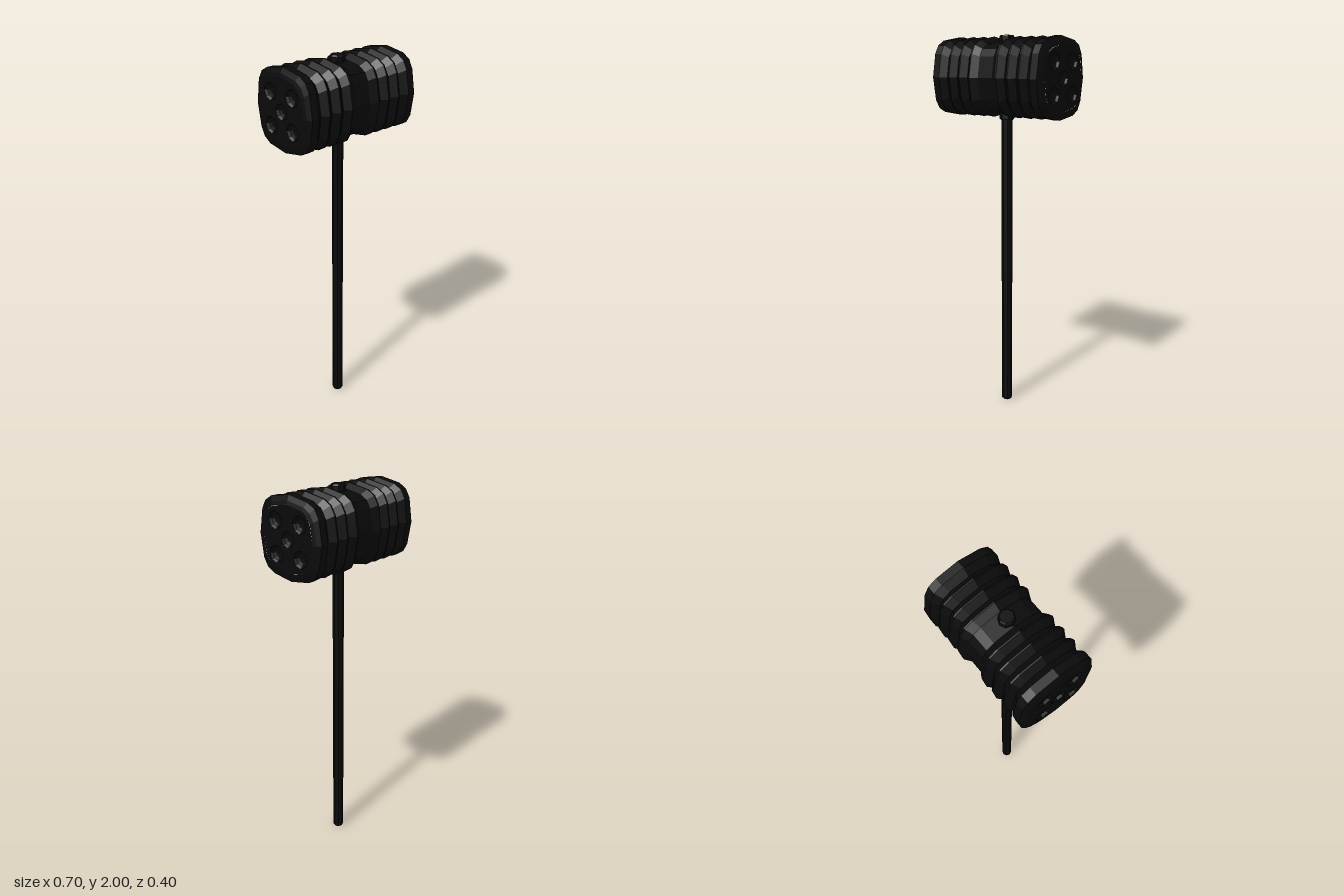
import * as THREE from 'three';

const HEAD_Y = 1.79;

// Rounded-square cross-section of the head, counter-clockwise, in (z, y)
const quarter = [[0.2, 0], [0.18, 0.115], [0.157, 0.157], [0.115, 0.182]];
const section = [];
for (let q = 0; q < 4; q++) {
  for (const [a, b] of quarter) {
    const v = new THREE.Vector2(a, b).rotateAround(new THREE.Vector2(), q * Math.PI / 2);
    section.push(new THREE.Vector2(v.x, v.y * 1.015));
  }
}

// Half profile of the bellows from the waist to the striking end: [x, scale]
const half = [
  [0.045, 0.89], [0.08, 1], [0.088, 1], [0.119, 0.86], [0.15, 1], [0.158, 1],
  [0.189, 0.86], [0.219, 1], [0.227, 1], [0.257, 0.86], [0.29, 1], [0.331, 1],
  [0.343, 0.88], [0.348, 0.79],
];

function bellowsGeometry() {
  const rings = [...half.map(([x, s]) => [-x, s]).reverse(), ...half];
  const n = section.length;
  const positions = [], index = [];
  for (const [x, s] of rings) for (const p of section) positions.push(x, p.y * s, p.x * s);
  for (let i = 0; i < rings.length - 1; i++) {
    for (let j = 0; j < n; j++) {
      const a = i * n + j, b = i * n + (j + 1) % n, c = a + n, d = b + n;
      index.push(a, c, b, b, c, d);
    }
  }
  // Wind every face outward
  for (let t = 0; t < index.length; t += 3) {
    const [a, b, c] = [0, 1, 2].map(k => new THREE.Vector3().fromArray(positions, index[t + k] * 3));
    const normal = b.clone().sub(a).cross(c.clone().sub(a));
    if (normal.y * a.y + normal.z * a.z < 0) [index[t + 1], index[t + 2]] = [index[t + 2], index[t + 1]];
  }
  const g = new THREE.BufferGeometry();
  g.setAttribute('position', new THREE.Float32BufferAttribute(positions, 3));
  g.setIndex(index);
  g.computeVertexNormals();
  return g;
}

export function createModel() {
  const model = new THREE.Group();
  model.name = 'mallet';
  const black = new THREE.MeshStandardMaterial({ color: 0x0a0a0a, flatShading: true });
  black.name = 'black';

  const add = (parent, name, geometry) => {
    const mesh = new THREE.Mesh(geometry, black);
    mesh.name = name;
    parent.add(mesh);
    return mesh;
  };
  const lathe = (points, sides) =>
    new THREE.LatheGeometry(points.map(p => new THREE.Vector2(...p)), sides);

  // Octagonal shaft with a bevelled foot
  add(model, 'handle', lathe([[0, 0], [0.022, 0], [0.029, 0.008], [0.029, 1.6]], 8));

  // Collar passing through the head, showing above and below it
  add(model, 'collar', lathe([
    [0.02, 1.575], [0.032, 1.575], [0.038, 1.583], [0.038, 1.992], [0.032, 2], [0, 2],
  ], 8));

  // Ribbed head
  const head = add(model, 'head', bellowsGeometry());
  head.position.y = HEAD_Y;

  // Striking faces with five shallow dimples each
  const dimples = [[0, 0, 0.04]];
  for (const u of [-1, 1]) for (const v of [-1, 1]) dimples.push([u * 0.078, v * 0.08, 0.043]);
  const face = new THREE.Shape(section.map(p => p.clone().multiplyScalar(0.79)));
  for (const [u, v, r] of dimples) {
    const rim = [];
    for (let i = 0; i < 8; i++) {
      const a = -i * Math.PI / 4;
      rim.push(new THREE.Vector2(u + r * Math.cos(a), v + r * Math.sin(a)));
    }
    face.holes.push(new THREE.Path(rim));
  }
  for (const side of [1, -1]) {
    const end = new THREE.Group();
    end.name = side > 0 ? 'leftEnd' : 'rightEnd';
    end.position.set(side * 0.348, HEAD_Y, 0);
    end.rotation.y = side * Math.PI / 2;
    add(end, 'strikingFace', new THREE.ShapeGeometry(face));
    for (const [u, v, r] of dimples) {
      const bowl = lathe([[r, 0], [r * 0.8, -0.012], [r * 0.45, -0.018], [0, -0.02]], 8);
      bowl.rotateX(Math.PI / 2);
      add(end, 'dimple', bowl).position.set(u, v, 0);
    }
    model.add(end);
  }
  return model;
}
